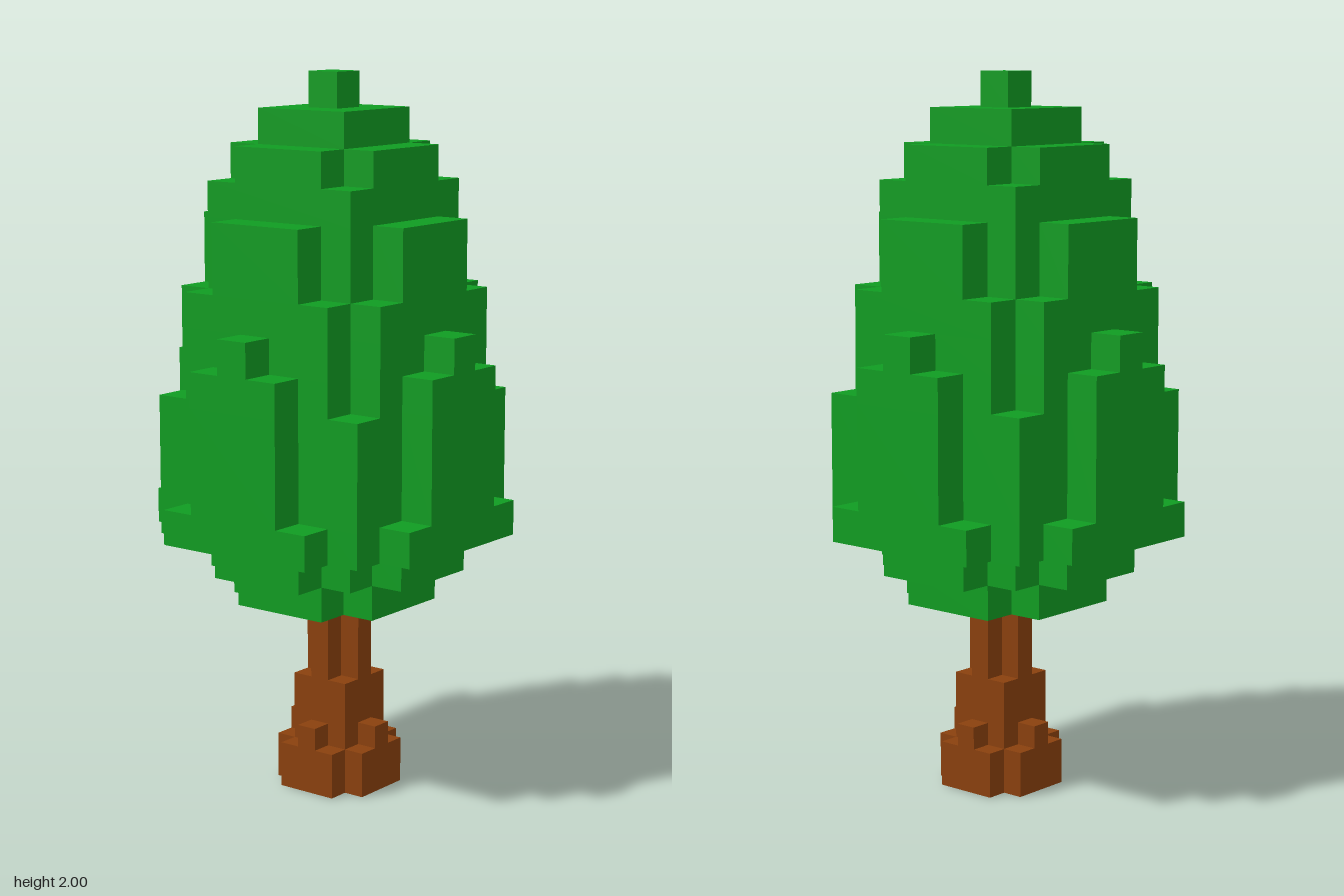
import * as THREE from 'three';

const leafGreen = new THREE.MeshStandardMaterial({ color: 0x109c22 });
leafGreen.name = 'leaf green';
const barkBrown = new THREE.MeshStandardMaterial({ color: 0x8a400d });
barkBrown.name = 'bark brown';

// Stepped outline of a block layer. widths[k] is how many blocks row k
// reaches out from the middle; it is mirrored into all four quadrants.
function steppedShape(widths, unit) {
  const quadrant = [];
  widths.forEach((w, k) => {
    const x = (w + 0.5) * unit;
    if (k > 0 && widths[k - 1] !== w) quadrant.push([x, (k - 0.5) * unit]);
    if (widths[k + 1] !== w) quadrant.push([x, (k + 0.5) * unit]);
  });
  const reversed = [...quadrant].reverse();
  return new THREE.Shape([
    ...quadrant.map(([x, y]) => new THREE.Vector2(x, y)),
    ...reversed.map(([x, y]) => new THREE.Vector2(-x, y)),
    ...quadrant.map(([x, y]) => new THREE.Vector2(-x, -y)),
    ...reversed.map(([x, y]) => new THREE.Vector2(x, -y)),
  ]);
}

// Stack of extruded layers: each entry is [layer count, row widths]
function stack(name, layers, unit, layerHeight, material) {
  const group = new THREE.Group();
  group.name = name;
  let y = 0;
  layers.forEach(([count, widths], i) => {
    const depth = count * layerHeight;
    const geometry = new THREE.ExtrudeGeometry(steppedShape(widths, unit), { depth, bevelEnabled: false });
    geometry.rotateX(-Math.PI / 2);
    const mesh = new THREE.Mesh(geometry, material);
    mesh.name = `${name}Layer${i + 1}`;
    mesh.position.y = y;
    group.add(mesh);
    y += depth;
  });
  return group;
}

export function createModel() {
  const tree = new THREE.Group();
  tree.name = 'tree';

  // Trunk: root flare, square stem, then a cross-shaped neck
  const trunk = stack('trunk', [
    [2, [2, 2, 1]],
    [1, [2, 1, 0]],
    [2, [1, 1]],
    [3.44, [1, 0]],
  ], 0.06, 0.0635, barkBrown);
  trunk.position.z = 0.019;
  tree.add(trunk);

  // Canopy: rounded underside, wide belly, tapering to a single block
  const canopy = stack('canopy', [
    [1, [2, 2, 1]],
    [1, [3, 3, 2, 1]],
    [1, [4, 4, 4, 3, 2]],
    [3, [4, 4, 3, 3, 1]],
    [1, [4, 4, 3, 2, 1]],
    [1, [4, 3, 3, 2, 0]],
    [1, [3, 3, 3, 2]],
    [2, [3, 3, 2, 1]],
    [1, [2, 2, 2]],
    [1, [2, 2, 1]],
    [1, [1, 1]],
    [1, [0]],
  ], 0.0976, 0.0976, leafGreen);
  canopy.position.y = 0.536;
  tree.add(canopy);

  return tree;
}
